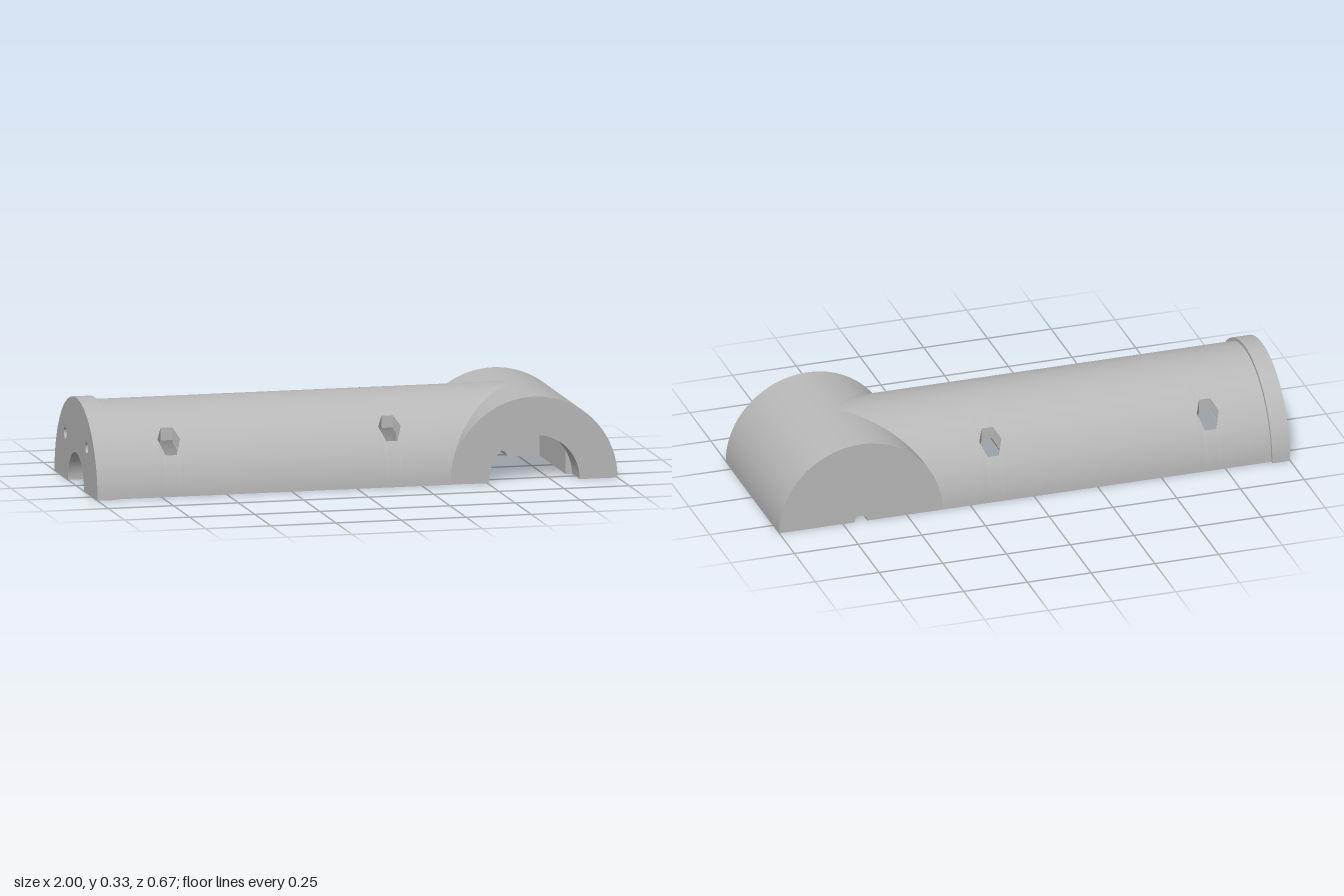
import * as THREE from 'three';
import { toCreasedNormals } from 'three/addons/utils/BufferGeometryUtils.js';

const R = 0.32, RI = 0.285, RIM = 0.333;      // outer, inner and rim radii
const CX = 0.68, BORE = 0.175, NOTCH = 0.025; // cross barrel centre, its bore, cable notch
const X0 = -0.88, XB = 0.28, XE = 0.83;       // cavity start, box pocket start and end
const ZB = 0.2, YB = 0.16;                    // box pocket half width and height
const PORT = 0.125;                           // opening in the rim end
const HEX = 0.043;
const HOLES = [{ x: -0.705, z: 0.245 }, { x: 0.145, z: 0.236 }];

export function createModel() {
  const model = new THREE.Group();
  model.name = 'halfShell';
  const grey = new THREE.MeshStandardMaterial({ color: 0xb8b8b8, side: THREE.DoubleSide });
  grey.name = 'grey plastic';

  const add = (name, geo) => {
    const m = new THREE.Mesh(geo, grey);
    m.name = name;
    model.add(m);
    return m;
  };

  // Grid surface whose points follow f(u, v)
  const patch = (name, f, nu, nv) => {
    const g = new THREE.PlaneGeometry(1, 1, nu, nv);
    const p = g.attributes.position, uv = g.attributes.uv;
    for (let i = 0; i < p.count; i++) p.setXYZ(i, ...f(uv.getX(i), uv.getY(i)));
    g.computeVertexNormals();
    return add(name, g);
  };

  // Flat face in the xy plane moved to depth z
  const face = (name, shape, z) => {
    const m = add(name, new THREE.ShapeGeometry(shape, 48));
    m.position.z = z;
    return m;
  };
  const poly = (pts) => new THREE.Shape(pts.map(([x, y]) => new THREE.Vector2(x, y)));
  const arc = (cx, r, a0, a1, n = 24) => Array.from({ length: n + 1 }, (_, i) => {
    const a = a0 + (a1 - a0) * i / n;
    return [cx + r * Math.cos(a), r * Math.sin(a)];
  });
  // Half disc with a half-round cutout at its base
  const arch = (cx, r, cut) => poly([...arc(cx, r, 0, Math.PI, 64), ...arc(cx, cut, Math.PI, 0, 32)]);

  // Half tube along x, leaving out the hexagonal holes
  const halfTube = (name, r, x1) => {
    const xs = [[X0, null]];
    for (const h of HOLES) for (const k of [-1, -0.5, 0.5, 1]) xs.push([h.x + k * HEX, h]);
    xs.push([x1, null]);
    for (let i = 0; i < xs.length - 1; i++) {
      const [xa, ha] = xs[i], [xb, hb] = xs[i + 1];
      const inHole = ha && ha === hb;
      const last = i === xs.length - 2 && r === R;
      const edge = (x, s) => {
        const w = Math.min(HEX * 0.866, (HEX - Math.abs(x - ha.x)) * 1.732);
        return Math.acos(Math.min(1, (ha.z + s * w) / r));
      };
      const spans = inHole ? [
        [() => 0, (x) => edge(x, 1)],
        [(x) => edge(x, -1), (x) => Math.PI - edge(x, -1)],
        [(x) => Math.PI - edge(x, 1), () => Math.PI],
      ] : [[() => 0, () => Math.PI]];
      for (const [a, b] of spans) patch(name, (u, v) => {
        let x = xa + (xb - xa) * u;
        const t = a(x) + (b(x) - a(x)) * v;
        // The last outer band is mitred against the cross barrel
        if (last) x = xa + (CX - Math.abs(r * Math.cos(t)) - xa) * u;
        return [x, r * Math.sin(t), r * Math.cos(t)];
      }, last ? 6 : 1, 64);
    }
  };
  halfTube('tubeOuter', R, CX);
  halfTube('tubeInner', RI, XB);

  // Walls of the vertical hexagonal holes
  const yAt = (r, z) => Math.sqrt(Math.max(0, r * r - z * z));
  for (const h of HOLES) for (const s of [1, -1]) for (let k = 0; k < 6; k++) {
    const c = (j) => [h.x + HEX * Math.cos(j * Math.PI / 3), s * h.z + HEX * Math.sin(j * Math.PI / 3)];
    const [p, q] = [c(k), c(k + 1)];
    patch('hexHoleWall', (u, v) => {
      const x = p[0] + (q[0] - p[0]) * u, z = p[1] + (q[1] - p[1]) * u;
      return [x, yAt(RI, z) * (1 - v) + yAt(R, z) * v, z];
    }, 6, 1);
  }

  // Rim end: flange and inner wall, with port and two screw holes
  const endWall = (name, r, x, depth) => {
    const s = arch(0, r, PORT);
    for (const k of [1, -1]) s.holes.push(new THREE.Path().absarc(k * 0.165, 0.172, 0.022, 0, Math.PI * 2, true));
    const g = new THREE.ExtrudeGeometry(s, { depth, bevelEnabled: false, curveSegments: 16 });
    g.rotateY(Math.PI / 2).translate(x, 0, 0);
    add(name, toCreasedNormals(g, 0.6));
  };
  endWall('rimFlange', RIM, -1, 0.07);
  endWall('endWall', R, -0.93, 0.05);

  // Cross barrel: full half towards +x, two mitred wings towards the tube
  const barrel = (a0, a1, z0, z1) => patch('crossBarrel', (u, v) => {
    const a = a0 + (a1 - a0) * u, d = R * Math.cos(a);
    return [CX + d, R * Math.sin(a), z0(d) + (z1(d) - z0(d)) * v];
  }, 40, 4);
  barrel(0, Math.PI / 2, () => -R, () => R);
  barrel(Math.PI / 2, Math.PI, (d) => -d, () => R);
  barrel(Math.PI / 2, Math.PI, () => -R, (d) => d);
  face('barrelFront', arch(CX, R, BORE), R);
  face('barrelBack', arch(CX, R, NOTCH), -R);

  // Front bore and back cable notch
  const bore = (name, r, z0, z1) => patch(name, (u, v) => [
    CX + r * Math.cos(Math.PI * u), r * Math.sin(Math.PI * u), z0 + (z1 - z0) * v], 40, 1);
  bore('frontBore', BORE, ZB, R);
  bore('cableNotch', NOTCH, -R, -ZB);

  // Box pocket under the barrel
  patch('pocketCeiling', (u, v) => [XB + (XE - XB) * u, YB, ZB * (2 * v - 1)], 1, 1);
  patch('pocketEnd', (u, v) => [XE, YB * v, ZB * (2 * u - 1)], 1, 1);
  face('pocketBack', poly([[XB, 0], [XB, YB], [XE, YB], [XE, 0],
    ...arc(CX, NOTCH, 0, Math.PI, 16)]), -ZB);
  const aTop = Math.asin(YB / BORE), aSide = Math.acos((XE - CX) / BORE);
  face('pocketFront', poly([[XB, 0], [XB, YB], ...arc(CX, BORE, Math.PI - aTop, Math.PI)]), ZB);
  face('pocketFront', poly([[XE, YB], ...arc(CX, BORE, aTop, aSide)]), ZB);
  face('boreLip', poly(arc(CX, BORE, aTop, Math.PI - aTop)), ZB);
  face('boreLip', poly([[XE, 0], ...arc(CX, BORE, 0, aSide)]), ZB);

  // Partition between the tube cavity and the pocket
  const part = poly([...arc(0, RI, 0, Math.PI, 64), [-ZB, 0], [-ZB, YB], [ZB, YB], [ZB, 0]]);
  const partition = face('partition', part, 0);
  partition.rotation.y = Math.PI / 2;
  partition.position.x = XB;

  // Flat joint faces on the ground: x0, x1, z0, z1
  for (const [x0, x1, z0, z1] of [
    [X0, XB, RI, R], [X0, XB, -R, -RI],
    [XB, CX - NOTCH, -R, -ZB], [CX + NOTCH, 1, -R, -ZB],
    [XB, CX - BORE, ZB, R], [CX + BORE, 1, ZB, R],
    [XE, 1, -ZB, ZB],
  ]) patch('jointFace', (u, v) => [x0 + (x1 - x0) * u, 0, z0 + (z1 - z0) * v], 1, 1);

  return model;
}
